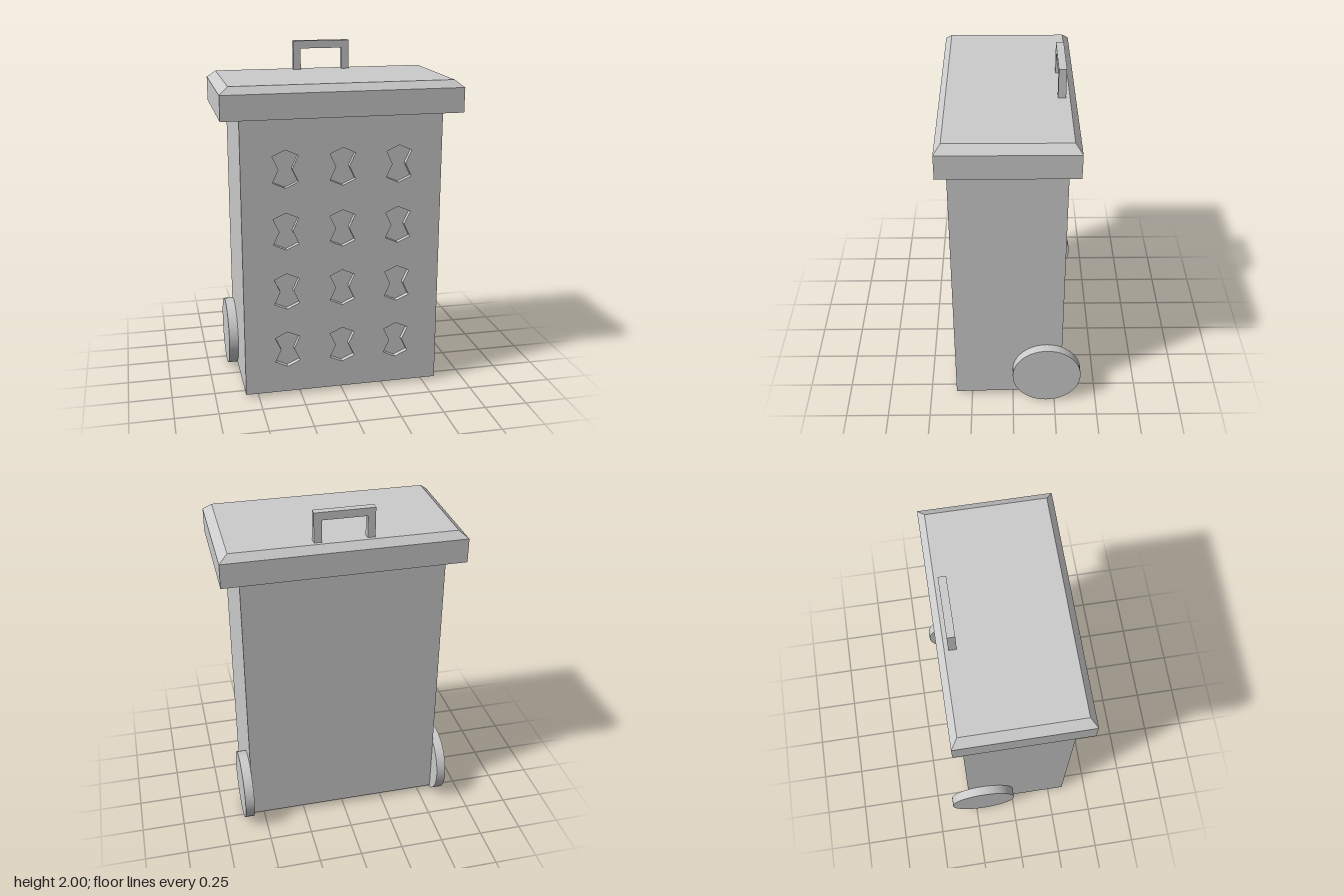
import * as THREE from 'three';

const material = new THREE.MeshStandardMaterial({ color: 0xcccccc, flatShading: true });
const smooth = new THREE.MeshStandardMaterial({ color: 0xcccccc });

function add(parent, name, geometry, mat = material) {
  const mesh = new THREE.Mesh(geometry, mat);
  mesh.name = name;
  parent.add(mesh);
  return mesh;
}

// Moves every vertex by a rule, then rebuilds faceted normals
function reshape(geometry, rule) {
  const g = geometry.toNonIndexed();
  const p = g.attributes.position;
  const v = new THREE.Vector3();
  for (let i = 0; i < p.count; i++) {
    rule(v.fromBufferAttribute(p, i));
    p.setXYZ(i, v.x, v.y, v.z);
  }
  g.computeVertexNormals();
  return g;
}

const shapeFrom = (points) => new THREE.Shape(points.map(([x, y]) => new THREE.Vector2(x, y)));

const W = 0.575, TOP = 1.65, BOTTOM = 0.02;
const BACK = -0.29, FRONT = 0.345, RECESS = 0.03;

// Waisted outline of one recess on the front panel
const recess = [
  [0, 0.108], [-0.073, 0.075], [-0.038, 0], [-0.073, -0.075],
  [0, -0.108], [0.073, -0.075], [0.038, 0], [0.073, 0.075],
];

function frontPanelGeometry() {
  const panel = shapeFrom([[-W, BOTTOM], [W, BOTTOM], [W, TOP], [-W, TOP]]);
  for (const cy of [0.286, 0.645, 1.004, 1.363]) {
    for (const cx of [-0.325, 0, 0.325]) {
      panel.holes.push(new THREE.Path(recess.map(([x, y]) => new THREE.Vector2(cx + x, cy + y))));
    }
  }
  return new THREE.ExtrudeGeometry(panel, { depth: RECESS, bevelEnabled: false });
}

export function createModel() {
  const bin = new THREE.Group();
  bin.name = 'wheeledBin';

  // Body, its floor rising slightly towards the back
  const depth = FRONT - RECESS - BACK;
  const body = new THREE.BoxGeometry(W * 2, TOP - BOTTOM, depth);
  body.translate(0, (TOP + BOTTOM) / 2, BACK + depth / 2);
  add(bin, 'body', reshape(body, (v) => {
    if (v.y < 1 && v.z < 0) v.y += 0.015;
  }));

  // Front panel with the grid of recesses
  add(bin, 'frontPanel', frontPanelGeometry()).position.z = FRONT - RECESS;

  // Lid with straight rim and chamfered top
  const lid = new THREE.BoxGeometry(1.36, 2, 0.745, 1, 2, 1);
  add(bin, 'lid', reshape(lid, (v) => {
    if (v.y > 0.5) {
      v.x *= 0.63 / 0.68;
      v.z *= 0.335 / 0.3725;
      v.y = 1.83;
    } else {
      v.y = v.y > -0.5 ? 1.79 : TOP;
    }
    v.z += 0.0265;
  }));

  // Square handle at the back of the lid
  const handle = shapeFrom([
    [-0.168, 1.82], [-0.125, 1.82], [-0.125, 1.955], [0.125, 1.955],
    [0.125, 1.82], [0.168, 1.82], [0.168, 2], [-0.168, 2],
  ]);
  add(bin, 'handle', new THREE.ExtrudeGeometry(handle, { depth: 0.043, bevelEnabled: false }))
    .position.z = -0.287;

  // Wheels on the rear lower sides
  const wheel = new THREE.CylinderGeometry(0.203, 0.203, 0.055, 48);
  wheel.rotateZ(Math.PI / 2);
  for (const [name, side] of [['leftWheel', 1], ['rightWheel', -1]]) {
    add(bin, name, wheel, smooth).position.set(side * 0.6025, 0.203, -0.2);
  }

  return bin;
}
